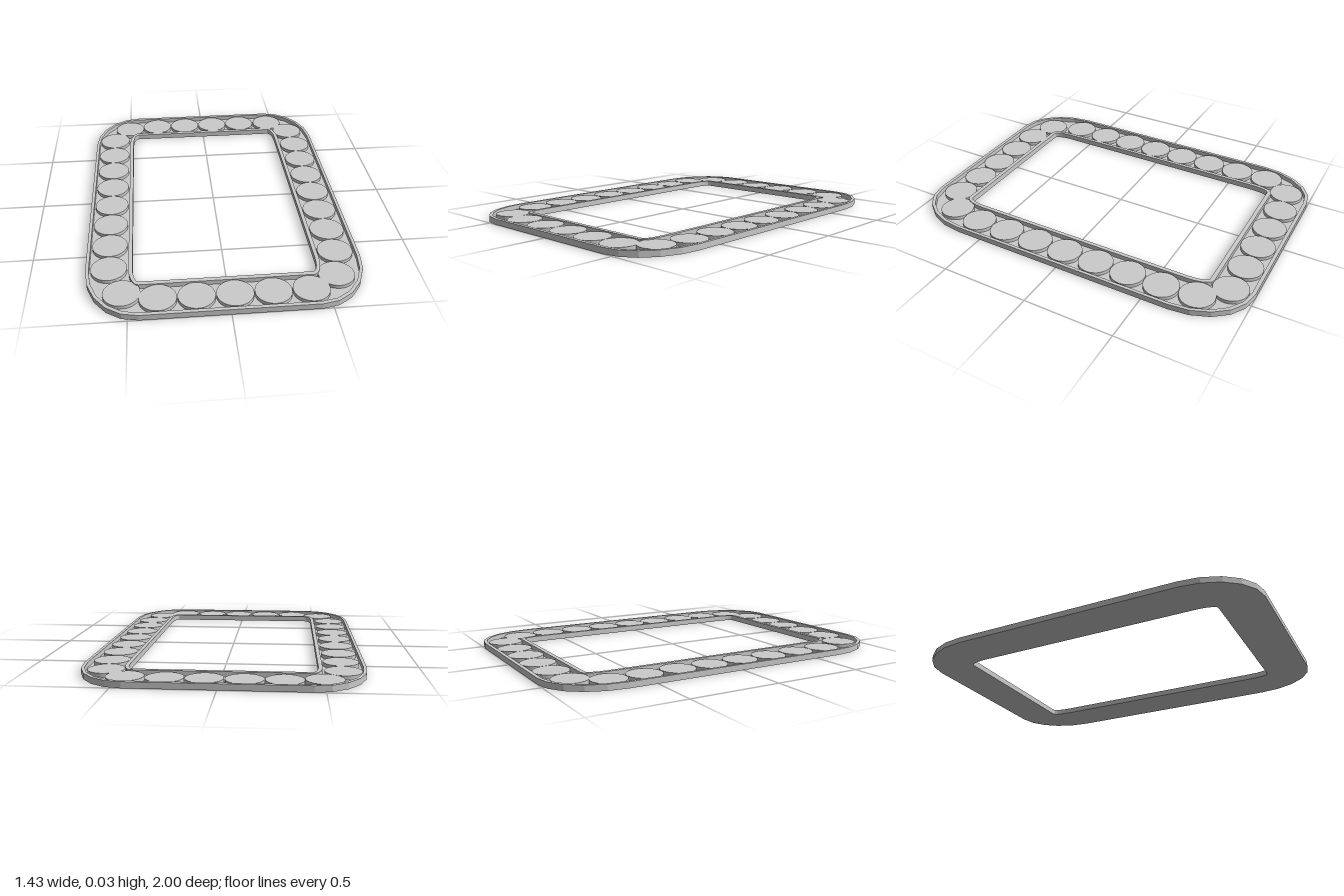
import * as THREE from 'three';

const material = new THREE.MeshStandardMaterial({ color: 0xcccccc, flatShading: true });

// Rounded rectangle outline; every outline shares the same corner centres
function outline(hx, hz, segments = 5) {
  const cx = 0.445, cz = 0.65, points = [];
  const signs = [[1, 1], [-1, 1], [-1, -1], [1, -1]];
  signs.forEach(([sx, sz], quarter) => {
    for (let i = 0; i <= segments; i++) {
      const a = (quarter + i / segments) * Math.PI / 2;
      points.push(new THREE.Vector2(
        sx * cx + (hx - cx) * Math.cos(a),
        sz * cz + (hz - cz) * Math.sin(a)));
    }
  });
  return points;
}

// Flat ring between two outlines, raised from y0 to y1
function ring(name, outer, inner, y0, y1) {
  const shape = new THREE.Shape(outline(...outer));
  shape.holes.push(new THREE.Path(outline(...inner)));
  const geometry = new THREE.ExtrudeGeometry(shape, { depth: y1 - y0, bevelEnabled: false });
  geometry.rotateX(-Math.PI / 2).translate(0, y0, 0);
  const mesh = new THREE.Mesh(geometry, material);
  mesh.name = name;
  return mesh;
}

export function createModel() {
  const group = new THREE.Group();
  group.name = 'conveyorLoop';

  // Channel: floor with a wall on each side
  group.add(ring('trackFloor', [0.7, 0.98], [0.497, 0.782], 0, 0.006));
  group.add(ring('outerWall', [0.717, 1], [0.7, 0.98], 0, 0.032));
  group.add(ring('innerWall', [0.497, 0.782], [0.476, 0.758], 0, 0.032));

  // Round carrier plates chained along the channel
  const pitch = 0.191;
  const centres = [[-0.5, -0.86], [0.455, -0.875], [0.578, -0.745], [0.56, 0.777], [-0.53, 0.828]];
  for (let i = 0; i < 4; i++) centres.push([-0.312 + i * pitch, -0.882]);
  for (let i = 0; i < 5; i++) centres.push([-0.352 + i * pitch, 0.876]);
  for (let i = 0; i < 7; i++) centres.push([0.596, -0.556 + i * pitch]);
  for (let i = 0; i < 8; i++) centres.push([-0.598, -0.702 + i * pitch]);

  const plates = new THREE.Group();
  plates.name = 'carrierPlates';
  const disc = new THREE.CylinderGeometry(0.094, 0.094, 0.02, 40);
  centres.forEach(([x, z], i) => {
    const plate = new THREE.Mesh(disc, material);
    plate.name = 'carrierPlate';
    // tiny height steps keep overlapping corner plates apart
    plate.position.set(x, 0.016 + (i % 2) * 0.0005, z);
    plates.add(plate);
  });
  group.add(plates);
  return group;
}
